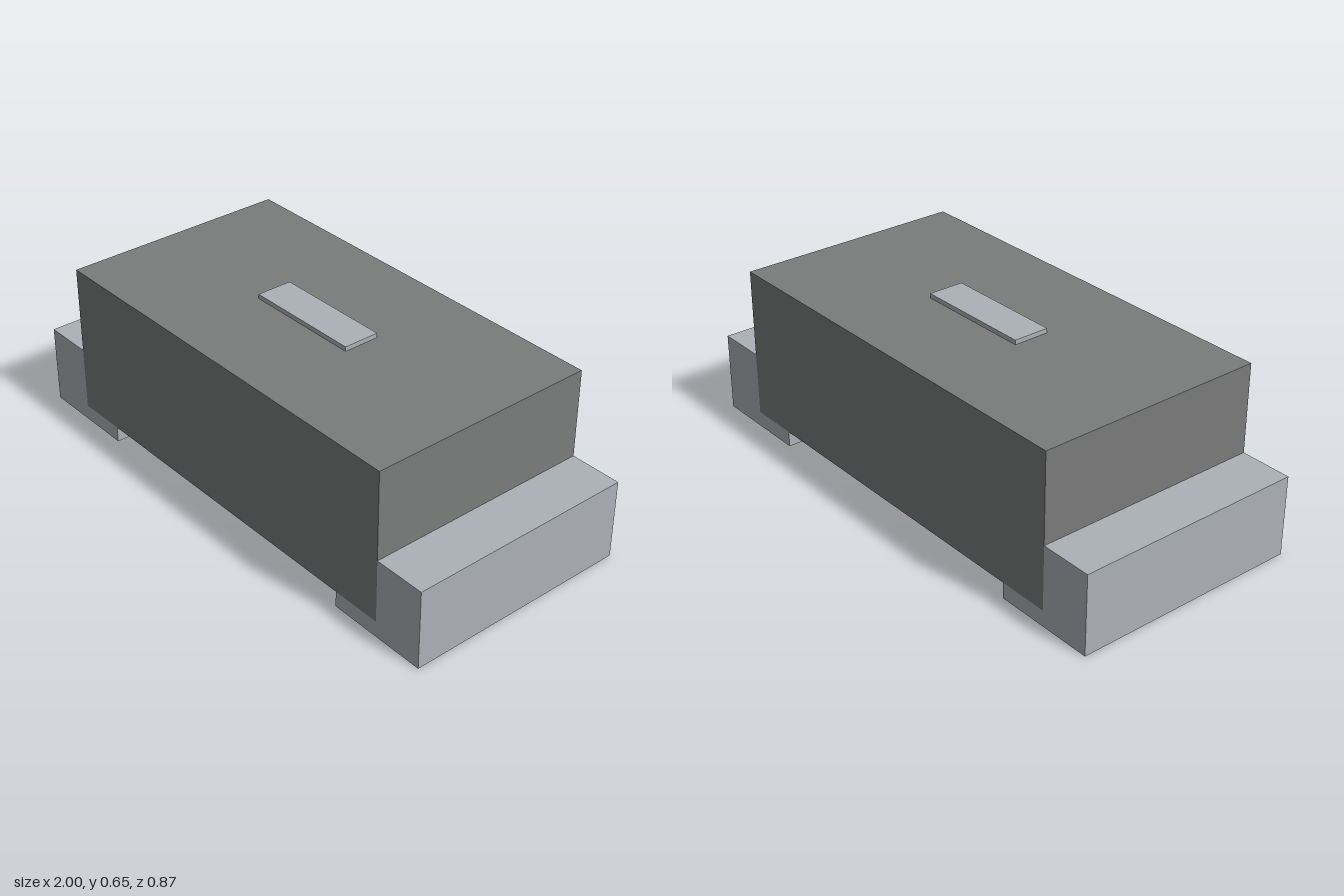
import * as THREE from 'three';

const DEPTH = 0.87;

export function createModel() {
  const model = new THREE.Group();
  model.name = 'surfaceMountPackage';

  const bodyGrey = new THREE.MeshStandardMaterial({ color: 0x7a7b7b });
  bodyGrey.name = 'body grey';
  const metal = new THREE.MeshStandardMaterial({ color: 0xacb0b8 });
  metal.name = 'terminal metal';

  // Box placed by its base height
  function addBox(name, width, height, depth, baseY, material) {
    const mesh = new THREE.Mesh(new THREE.BoxGeometry(width, height, depth), material);
    mesh.name = name;
    mesh.position.y = baseY + height / 2;
    model.add(mesh);
  }

  // Moulded body and the polarity mark on its top
  addBox('body', 1.608, 0.573, DEPTH, 0.06, bodyGrey);
  addBox('topMark', 0.456, 0.017, 0.137, 0.633, metal);

  // L-shaped terminals wrapping the lower corners of the body
  const profile = [[0.612, 0], [1, 0], [1, 0.3], [0.804, 0.3], [0.804, 0.06], [0.612, 0.06]];
  for (const [name, side] of [['leftTerminal', 1], ['rightTerminal', -1]]) {
    const shape = new THREE.Shape(profile.map(([x, y]) => new THREE.Vector2(side * x, y)));
    const geometry = new THREE.ExtrudeGeometry(shape, { depth: DEPTH, bevelEnabled: false });
    geometry.translate(0, 0, -DEPTH / 2);
    const terminal = new THREE.Mesh(geometry, metal);
    terminal.name = name;
    model.add(terminal);
  }

  return model;
}
